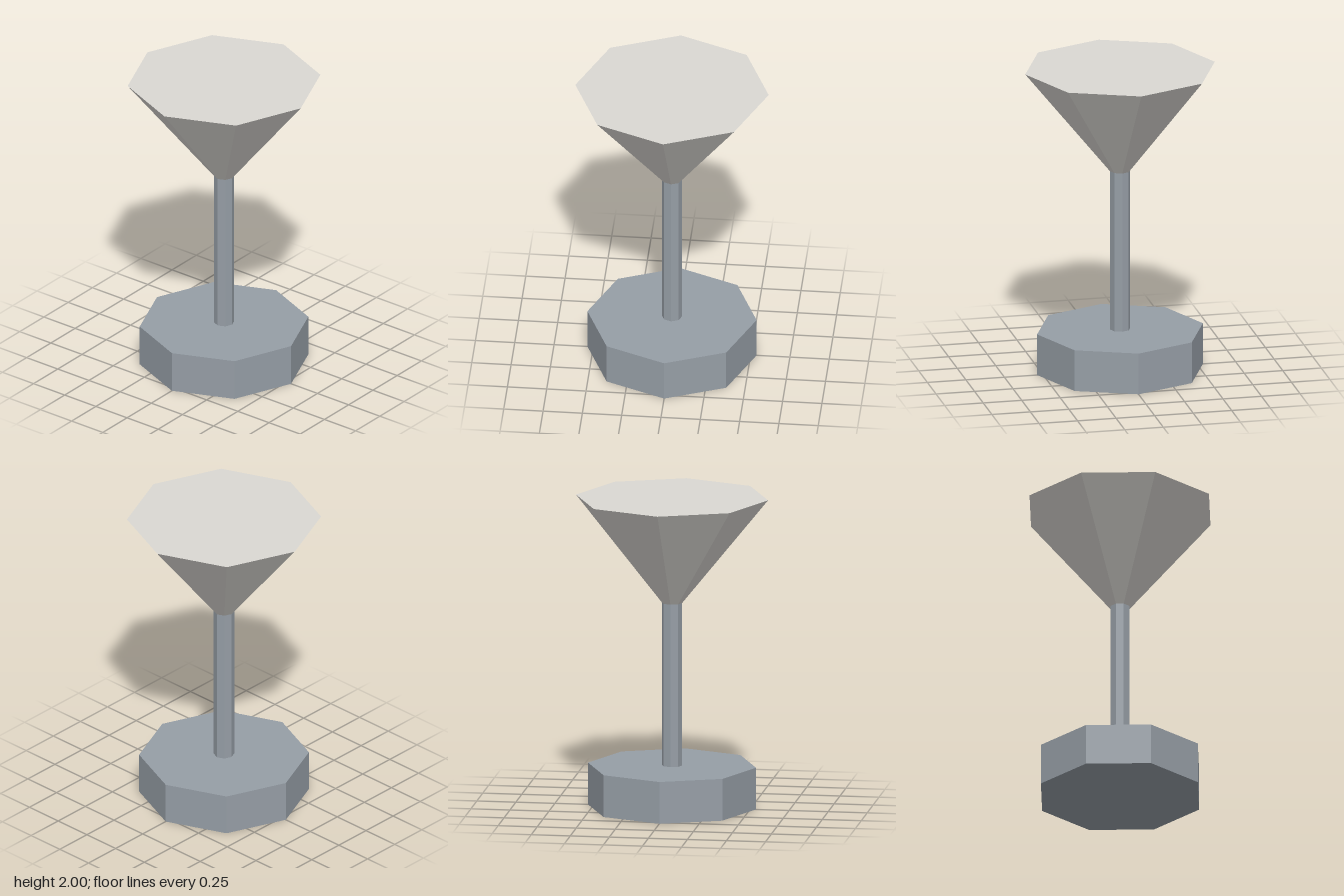
import * as THREE from 'three';

const SIDES = 8;

export function createModel() {
  const model = new THREE.Group();
  const steel = new THREE.MeshStandardMaterial({ color: 0x969ea6, flatShading: true });
  steel.name = 'blue grey steel';
  const pale = new THREE.MeshStandardMaterial({ color: 0xdad8d3, flatShading: true });
  pale.name = 'pale warm grey';

  // Eight-sided section standing between two heights, corners on the axes
  function section(name, bottomRadius, topRadius, y0, y1, material, open = false) {
    const geometry = new THREE.CylinderGeometry(topRadius, bottomRadius, y1 - y0, SIDES, 1, open);
    const mesh = new THREE.Mesh(geometry, material);
    mesh.name = name;
    mesh.position.y = (y0 + y1) / 2;
    model.add(mesh);
  }

  section('base', 0.538, 0.538, 0, 0.27, steel);
  section('stem', 0.065, 0.065, 0.27, 1.32, steel, true);
  section('flaredTop', 0.065, 0.615, 1.32, 2, pale);

  return model;
}
